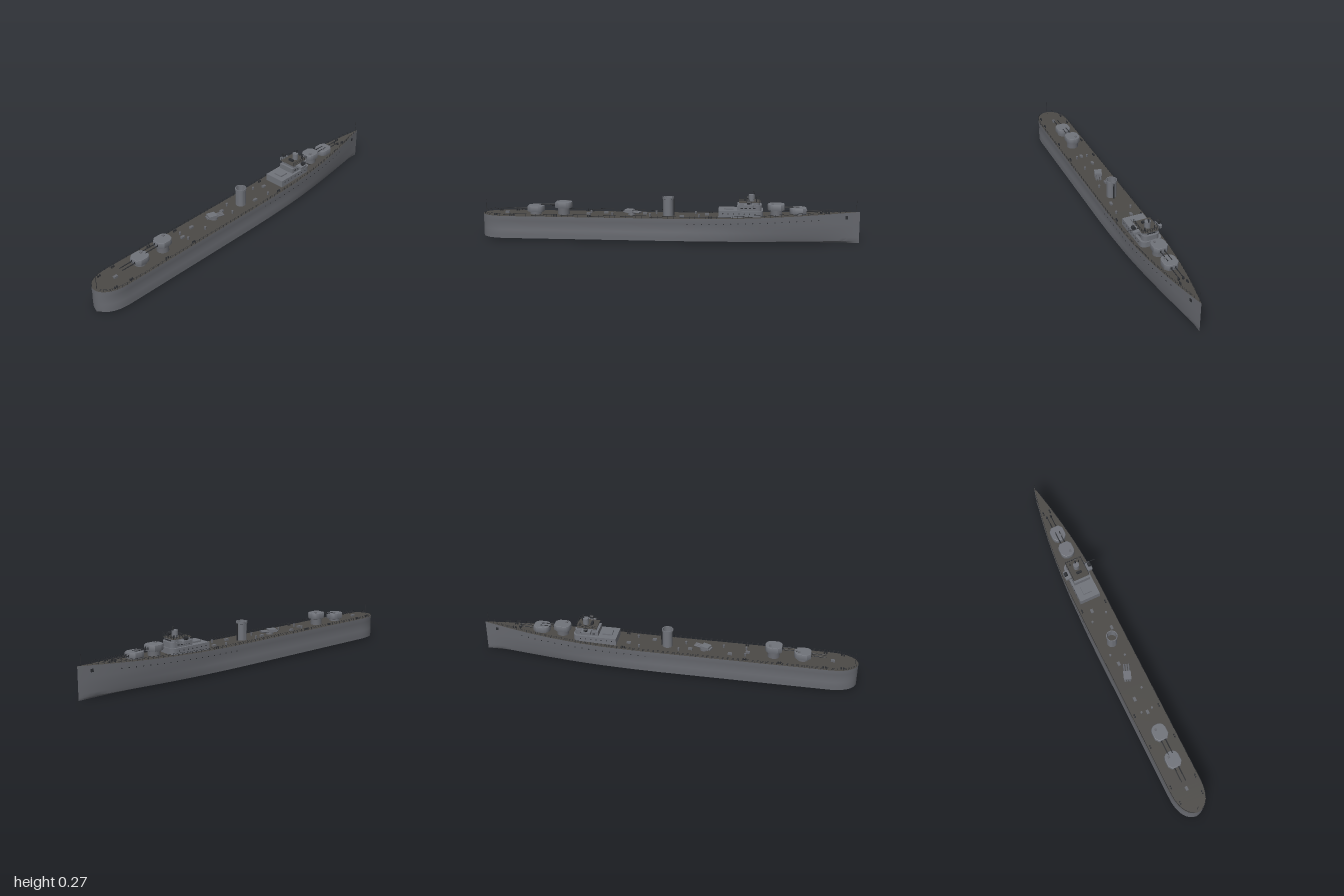
import * as THREE from 'three';
import { mergeGeometries, toCreasedNormals } from 'three/addons/utils/BufferGeometryUtils.js';

const paint = (name, color, side = THREE.FrontSide) => {
  const m = new THREE.MeshStandardMaterial({ color, side });
  m.name = name;
  return m;
};

export function createModel() {
  const hullGrey = paint('hull grey', 0x66686e);
  const houseGrey = paint('superstructure grey', 0x70737a, THREE.DoubleSide);
  const deckBrown = paint('deck brown grey', 0x4b4946);
  const dark = paint('dark fittings', 0x2c2e32);

  const model = new THREE.Group();
  const ship = new THREE.Group();
  ship.name = 'warship';
  ship.position.z = -0.01;
  model.add(ship);

  const add = (parent, name, geo, mat, x = 0, y = 0, z = 0) => {
    const m = new THREE.Mesh(geo, mat);
    m.name = name;
    m.position.set(x, y, z);
    parent.add(m);
    return m;
  };
  const box = (w, h, d) => new THREE.BoxGeometry(w, h, d);
  const cyl = (r1, r2, h, n = 20, open = false) => new THREE.CylinderGeometry(r1, r2, h, n, 1, open);
  const at = (geo, x, y, z) => geo.translate(x, y, z);
  const group = (name, x, y, z, parent = ship) => {
    const g = new THREE.Group();
    g.name = name;
    g.position.set(x, y, z);
    parent.add(g);
    return g;
  };

  // Hull lines: half breadth and deck height along the length
  const breadth = (x) => {
    if (x > 0.3) return 0.085 * (1 - Math.pow((x - 0.3) / 0.7, 1.9));
    if (x < -0.85) return 0.085 * Math.sqrt(Math.max(0, 1 - Math.pow((-0.85 - x) / 0.15, 2.4)));
    return 0.085;
  };
  const deckY = (x) => 0.131 + (x > 0.1 ? 0.036 * Math.pow((x - 0.1) / 0.9, 1.5) : 0);

  const loft = (rows) => {
    const n = rows[0].length, index = [];
    for (let r = 0; r < rows.length - 1; r++)
      for (let i = 0; i < n - 1; i++) {
        const a = r * n + i, c = a + n;
        index.push(a, a + 1, c, a + 1, c + 1, c);
      }
    const g = new THREE.BufferGeometry();
    g.setAttribute('position', new THREE.Float32BufferAttribute(rows.flat(2), 3));
    g.setIndex(index);
    return toCreasedNormals(g, 0.6);
  };

  const stations = [];
  for (let i = 0; i <= 12; i++) stations.push(-0.85 - 0.15 * Math.cos((i / 12) * Math.PI / 2));
  for (let i = 1; i <= 8; i++) stations.push(-0.85 + i * 0.14375);
  for (let i = 1; i <= 24; i++) stations.push(0.3 + i * 0.7 / 24);

  const hullRows = stations.map((x) => {
    const w = breadth(x), top = deckY(x);
    const bow = Math.max(0, (x - 0.1) / 0.9), mid = 1 - bow;
    const low = 1 - 0.4 * bow;
    const half = [
      [w, top], [w * (1 - 0.04 * bow), 0.105], [w * (0.95 - 0.02 * bow), 0.078],
      [w * (0.95 + 0.05 * mid - 0.12 * bow), 0.058], [w * (1 - 0.25 * bow), 0.03],
      [w * low, 0.012], [w * low * 0.5, 0.005],
    ];
    return [
      ...half.map(([z, y]) => [x, y, z]), [x, 0, 0],
      ...half.slice().reverse().map(([z, y]) => [x, y, -z]),
    ];
  });
  add(ship, 'hull', loft(hullRows), hullGrey);
  add(ship, 'deck', loft(stations.map((x) => [[x, deckY(x), -breadth(x)], [x, deckY(x), breadth(x)]])), deckBrown);

  // Guard rails, portholes and anchors on both sides
  const posts = [], ports = [], rails = [];
  for (const s of [1, -1]) {
    for (let x = -0.98; x < 0.98; x += 0.028)
      posts.push(at(box(0.0016, 0.014, 0.0016), x, deckY(x) + 0.007, s * (breadth(x) - 0.002)));
    for (const h of [0.007, 0.0135]) {
      const pts = stations.filter((x) => x > -0.995 && x < 0.97)
        .map((x) => new THREE.Vector3(x, deckY(x) + h, s * (breadth(x) - 0.002)));
      rails.push(new THREE.TubeGeometry(new THREE.CatmullRomCurve3(pts), 90, 0.0006, 4));
    }
    for (let i = 0; i < 19; i++) {
      const x = 0.1 + i * 0.038, y = deckY(x) - 0.028;
      ports.push(at(cyl(0.003, 0.003, 0.004, 8).rotateX(Math.PI / 2), x, y, s * breadth(x) * 0.985));
    }
    add(ship, 'anchor', box(0.014, 0.016, 0.006), dark, 0.93, 0.138, s * breadth(0.93) * 0.95);
  }
  add(ship, 'railPosts', mergeGeometries(posts), dark);
  add(ship, 'railWires', mergeGeometries(rails), dark);
  add(ship, 'portholes', mergeGeometries(ports), dark);
  add(ship, 'sternFlagpole', cyl(0.001, 0.0015, 0.075, 6), dark, -0.985, 0.168, 0);
  add(ship, 'bowFlagpole', cyl(0.001, 0.0015, 0.065, 6), dark, 0.982, 0.196, 0);

  // Gun turrets: rounded house with flat face, on a round barbette
  const plan = new THREE.Shape();
  plan.moveTo(0.042, -0.022);
  plan.lineTo(0.042, 0.022);
  plan.lineTo(0.022, 0.038);
  plan.lineTo(-0.015, 0.038);
  plan.quadraticCurveTo(-0.045, 0.034, -0.046, 0);
  plan.quadraticCurveTo(-0.045, -0.034, -0.015, -0.038);
  plan.lineTo(0.022, -0.038);
  const turretGeo = toCreasedNormals(new THREE.ExtrudeGeometry(plan, {
    depth: 0.024, bevelEnabled: true, bevelSize: 0.003, bevelThickness: 0.004, bevelOffset: -0.003, bevelSegments: 2, curveSegments: 8,
  }).rotateX(-Math.PI / 2), 0.5);
  for (const [x, y, aft] of [[-0.715, 0.148, 1], [-0.565, 0.17, 1], [0.565, 0.175, 0], [0.68, 0.157, 0]]) {
    const t = group('gunTurret', x, y, 0);
    if (aft) t.rotation.y = Math.PI;
    const h = y - deckY(x) + 0.004;
    add(t, 'barbette', cyl(0.03, 0.032, h), hullGrey, 0, -h / 2, 0);
    add(t, 'gunHouse', turretGeo, houseGrey);
    add(t, 'hatch', box(0.012, 0.004, 0.012), hullGrey, -0.02, 0.03, 0.014);
    for (const s of [1, -1]) {
      add(t, 'barrel', cyl(0.002, 0.003, 0.085, 8).rotateZ(-Math.PI / 2), dark, 0.078, 0.011, s * 0.011);
      add(t, 'gunPort', box(0.003, 0.012, 0.008), dark, 0.042, 0.012, s * 0.011);
    }
  }

  // Funnel with an open lipped top
  const funnelLine = [[0.027, 0], [0.027, 0.088], [0.03, 0.09], [0.03, 0.1], [0.026, 0.1], [0.025, 0.04]]
    .map(([r, y]) => new THREE.Vector2(r, y));
  const funnel = group('funnel', -0.005, 0.131, 0);
  add(funnel, 'funnelCasing', toCreasedNormals(new THREE.LatheGeometry(funnelLine, 24), 0.6), houseGrey);
  add(funnel, 'funnelInside', cyl(0.025, 0.025, 0.004), deckBrown, 0, 0.045, 0);
  add(funnel, 'steamPipe', cyl(0.003, 0.003, 0.09, 8), dark, 0.031, 0.045, 0);

  // Deckhouse and bridge tiers with rounded front
  const house = (name, x0, x1, half, r, y0, y1, mat) => {
    const s = new THREE.Shape();
    s.moveTo(x0, -half);
    s.lineTo(x1 - r, -half);
    s.quadraticCurveTo(x1, -half, x1, -half + r);
    s.lineTo(x1, half - r);
    s.quadraticCurveTo(x1, half, x1 - r, half);
    s.lineTo(x0, half);
    const g = new THREE.ExtrudeGeometry(s, { depth: y1 - y0, bevelEnabled: false, curveSegments: 8 });
    return add(ship, name, toCreasedNormals(g.rotateX(-Math.PI / 2), 0.6), mat, 0, y0, 0);
  };
  house('deckhouse', 0.262, 0.495, 0.057, 0.03, 0.125, 0.172, houseGrey);
  house('lowerBridge', 0.36, 0.488, 0.045, 0.025, 0.17, 0.2, houseGrey);
  house('upperBridge', 0.372, 0.478, 0.041, 0.02, 0.2, 0.214, houseGrey);
  house('bridgeDeck', 0.368, 0.48, 0.046, 0.02, 0.214, 0.217, deckBrown);
  house('bridgeWings', 0.395, 0.445, 0.078, 0.01, 0.194, 0.208, houseGrey);
  add(ship, 'houseRoofBox', box(0.05, 0.008, 0.05), houseGrey, 0.315, 0.176, 0);
  for (let i = -3; i <= 3; i++)
    add(ship, 'bridgeWindow', box(0.003, 0.006, 0.008), dark, 0.4775, 0.207, i * 0.0065 * 0.95);
  for (const s of [1, -1])
    for (let i = 0; i < 7; i++) {
      add(ship, 'housePorthole', cyl(0.003, 0.003, 0.003, 8).rotateX(Math.PI / 2), dark, 0.285 + i * 0.028, 0.157, s * 0.057);
      if (i < 4) add(ship, 'bridgeSideWindow', box(0.012, 0.006, 0.003), dark, 0.383 + i * 0.022, 0.185, s * 0.0445);
    }

  // Bridge rails, director tower and light guns
  const bridgeRails = [];
  for (const s of [1, -1]) {
    for (let i = 0; i < 7; i++) bridgeRails.push(at(box(0.0014, 0.016, 0.0014), 0.372 + i * 0.0175, 0.225, s * 0.044));
    for (let i = 0; i < 4; i++) bridgeRails.push(at(box(0.0014, 0.016, 0.0014), 0.478, 0.225, s * (0.006 + i * 0.012)));
    for (const y of [0.225, 0.233]) bridgeRails.push(at(box(0.108, 0.0012, 0.0012), 0.425, y, s * 0.044));
  }
  for (const y of [0.225, 0.233]) bridgeRails.push(at(box(0.0012, 0.0012, 0.088), 0.478, y, 0));
  add(ship, 'bridgeRails', mergeGeometries(bridgeRails), dark);
  add(ship, 'directorTower', cyl(0.016, 0.016, 0.036), houseGrey, 0.435, 0.233, 0);
  add(ship, 'directorMast', cyl(0.003, 0.004, 0.016, 8), dark, 0.447, 0.257, 0);
  add(ship, 'directorHead', cyl(0.005, 0.005, 0.005, 10), dark, 0.447, 0.266, 0);
  add(ship, 'rangefinder', box(0.012, 0.01, 0.03), dark, 0.4, 0.224, 0);
  for (const s of [1, -1]) {
    add(ship, 'searchlightStand', cyl(0.004, 0.005, 0.012, 10), hullGrey, 0.42, 0.212, s * 0.069);
    add(ship, 'searchlight', cyl(0.01, 0.01, 0.018, 16).rotateZ(Math.PI / 2), dark, 0.42, 0.22, s * 0.069);
    add(ship, 'lookoutPost', cyl(0.003, 0.003, 0.018, 8), dark, 0.46, 0.225, s * 0.026);
  }
  add(ship, 'lightGunBarrel', cyl(0.0015, 0.002, 0.062, 8).rotateX(Math.PI / 2), dark, 0.435, 0.221, 0.077);

  // Torpedo mount, trained off the centreline
  const mount = group('torpedoMount', -0.2, 0.131, -0.006);
  mount.rotation.y = -0.35;
  add(mount, 'mountBase', cyl(0.018, 0.02, 0.012), hullGrey, 0, 0.006, 0);
  add(mount, 'mountShield', box(0.045, 0.016, 0.04), houseGrey, -0.012, 0.02, 0);
  for (const z of [-0.012, 0, 0.012])
    add(mount, 'torpedoTube', cyl(0.005, 0.005, 0.095, 10).rotateZ(Math.PI / 2), hullGrey, 0.004, 0.016, z);

  // Small deck fittings: bollards, vents, lockers and winches
  for (const x of [-0.92, -0.83, -0.6, -0.42, 0.22, 0.83])
    for (const s of [1, -1])
      for (const dx of [-0.006, 0.006])
        add(ship, 'bollard', cyl(0.004, 0.004, 0.01, 8), dark, x + dx, deckY(x) + 0.005, s * (breadth(x) - 0.016));
  for (const [x, z] of [[-0.42, -0.03], [-0.42, 0.03], [-0.1, 0.03], [-0.07, -0.04], [0.14, -0.045], [0.16, 0.045], [-0.3, 0.03]])
    add(ship, 'ventilator', cyl(0.006, 0.005, 0.016, 10), hullGrey, x, 0.139, z);
  for (const [x, z] of [[-0.43, 0], [-0.34, -0.03], [0.07, 0.035], [0.2, -0.02], [-0.87, 0], [-0.13, -0.02]])
    add(ship, 'locker', box(0.022, 0.01, 0.014), hullGrey, x, 0.136, z);
  for (const s of [1, -1])
    add(ship, 'capstan', cyl(0.006, 0.005, 0.012, 12), dark, 0.8, deckY(0.8) + 0.006, s * 0.012);

  return model;
}
